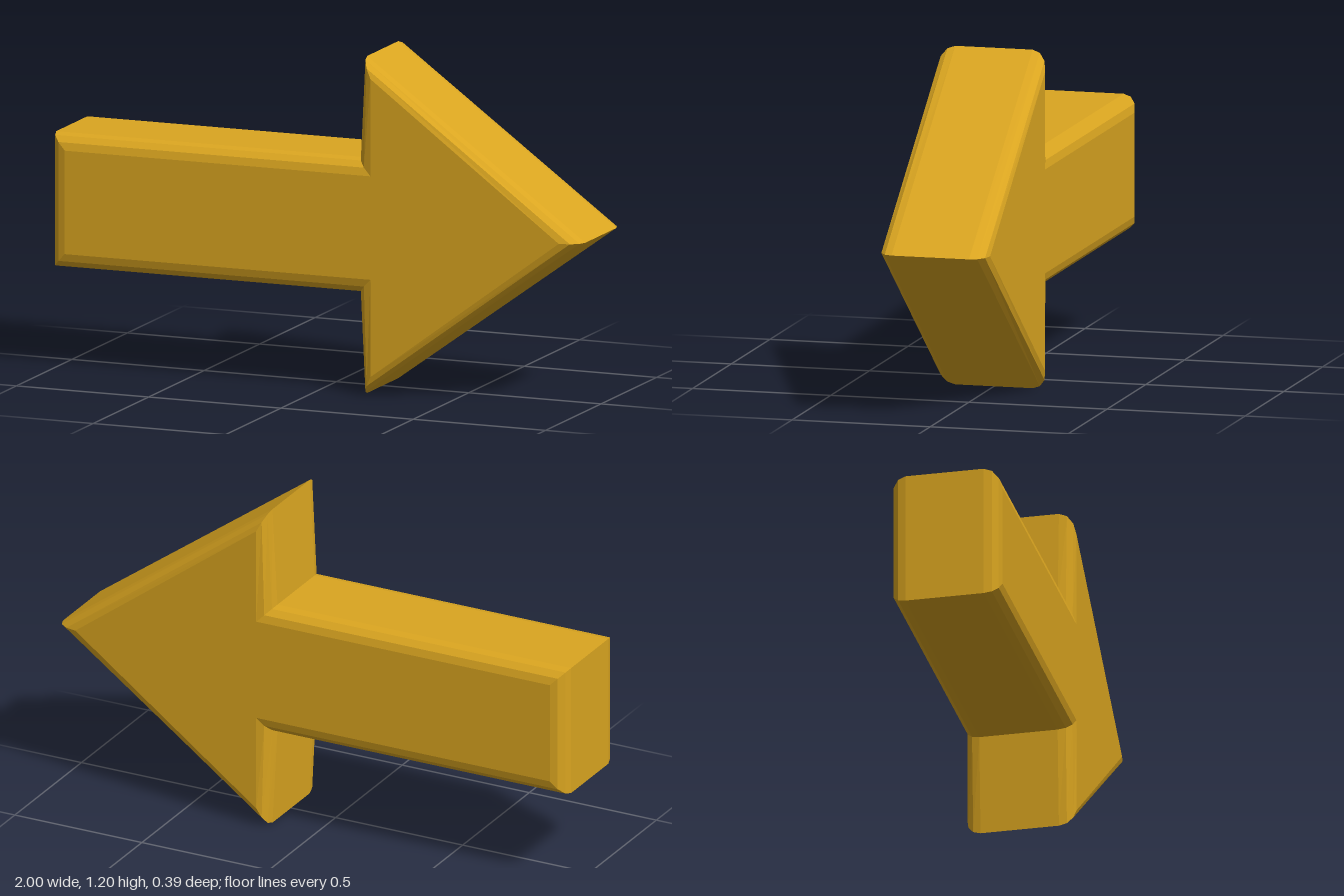
import * as THREE from 'three';

export function createModel() {
  const group = new THREE.Group();
  group.name = 'arrowSign';

  const gold = new THREE.MeshStandardMaterial({ color: 0xdaa520 });
  gold.name = 'gold';

  // Upper half of the outline, from tail to tip; the lower half mirrors it
  const bevel = 0.055;
  const upper = [[-0.945, 0.184], [0.21, 0.184], [0.21, 0.53]];
  const tip = [0.922, 0];
  const lower = upper.map(([x, y]) => [x, -y]);
  const outline = [...lower, tip, ...upper.slice().reverse()];
  const shape = new THREE.Shape(outline.map(([x, y]) => new THREE.Vector2(x, y)));

  // Thick arrow whose rounded bevel grows outward from the outline
  const depth = 0.28;
  const geometry = new THREE.ExtrudeGeometry(shape, {
    depth,
    bevelEnabled: true,
    bevelSize: bevel,
    bevelThickness: bevel,
    bevelSegments: 3,
  });
  geometry.translate(0, 0, -depth / 2);

  // Stand the lower barb on the ground
  geometry.computeBoundingBox();
  geometry.translate(0, -geometry.boundingBox.min.y, 0);

  const arrow = new THREE.Mesh(geometry, gold);
  arrow.name = 'arrow';
  group.add(arrow);
  return group;
}
